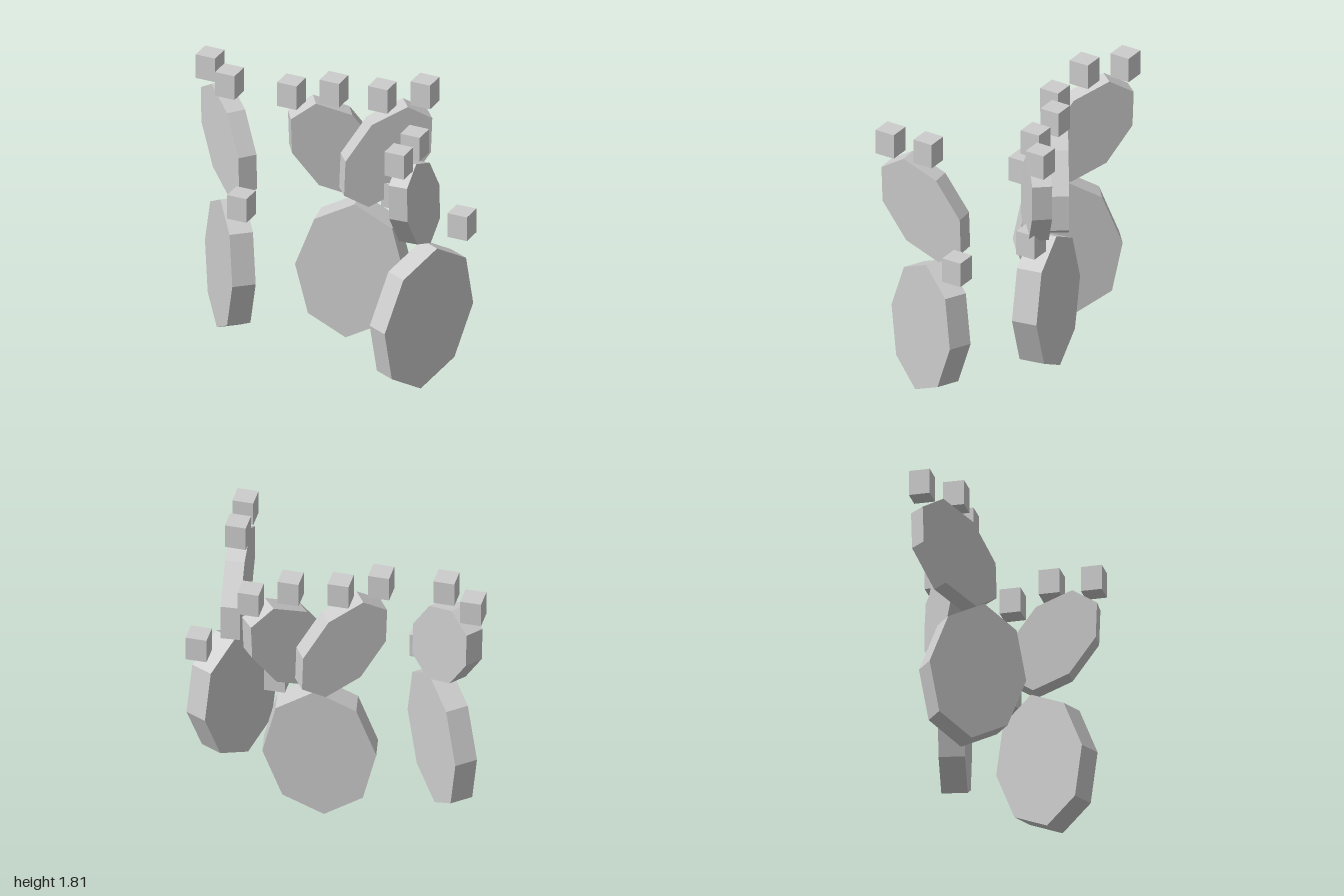
import * as THREE from 'three';

// Lower and upper pads: centre x, z, turn about y, half width, sideways lean, thickness
const LOWER = { y: 0.487, h: 0.483, list: [
  [-0.658, 0.035, -0.863, 0.345, 0.045, 0.155],
  [0.072, -0.27, 0.18, 0.366, 0.03, 0.17],
  [0.764, 0.161, 1.117, 0.361, 0.067, 0.155],
] };
const UPPER = { y: 1.316, h: 0.344, list: [
  [-0.72, -0.073, -0.69, 0.285, -0.13, 0.127],
  [-0.067, -0.272, 0.595, 0.282, -0.128, 0.13],
  [0.273, -0.328, 0.695, 0.282, 0.13, 0.13],
  [0.74, 0.216, 1.648, 0.281, -0.128, 0.126],
] };

// Fruit positions: a pair over each upper pad, one on the shoulder of each lower pad
const TOP_FRUIT = [
  [-0.93, -0.23], [-0.71, -0.06], [-0.29, -0.105], [-0.06, -0.255],
  [0.257, -0.31], [0.476, -0.487], [0.735, 0.2], [0.755, 0.475],
];
const SHOULDER_FRUIT = [[-0.473, 0.253], [0.342, -0.33], [0.91, -0.132]];

// Eight-sided flat pad, sheared sideways so that it leans
function padGeometry(halfWidth, halfHeight, lean, depth) {
  const points = [];
  for (let i = 0; i < 8; i++) {
    const a = -i * Math.PI / 4;
    points.push(new THREE.Vector2(
      halfWidth * Math.sin(a) + lean * Math.cos(a),
      halfHeight * Math.cos(a)));
  }
  const geo = new THREE.ExtrudeGeometry(new THREE.Shape(points), { depth, bevelEnabled: false });
  return geo.translate(0, 0, -depth / 2);
}

export function createModel() {
  const group = new THREE.Group();
  group.name = 'cactus';
  const grey = new THREE.MeshStandardMaterial({ color: 0xcccccc, flatShading: true });
  grey.name = 'pale grey';

  // Pads
  const addPads = ({ y, h, list }, name) => {
    list.forEach(([x, z, turn, width, lean, depth], i) => {
      const pad = new THREE.Mesh(padGeometry(width, h, lean, depth), grey);
      pad.name = `${name}${i + 1}`;
      pad.position.set(x, y, z);
      pad.rotation.y = turn;
      group.add(pad);
    });
  };
  addPads(LOWER, 'lowerPad');
  addPads(UPPER, 'upperPad');

  // Block-shaped fruit, all square to the axes
  const fruitGeo = new THREE.BoxGeometry(0.138, 0.17, 0.138);
  const addFruit = (list, y, name) => {
    list.forEach(([x, z], i) => {
      const fruit = new THREE.Mesh(fruitGeo, grey);
      fruit.name = `${name}${i + 1}`;
      fruit.position.set(x, y, z);
      group.add(fruit);
    });
  };
  addFruit(TOP_FRUIT, 1.731, 'topFruit');
  addFruit(SHOULDER_FRUIT, 1.043, 'shoulderFruit');

  // Stand on y = 0 and centre
  const box = new THREE.Box3().setFromObject(group);
  const mid = box.getCenter(new THREE.Vector3());
  group.children.forEach((m) => m.position.sub(new THREE.Vector3(mid.x, box.min.y, mid.z)));
  return group;
}
